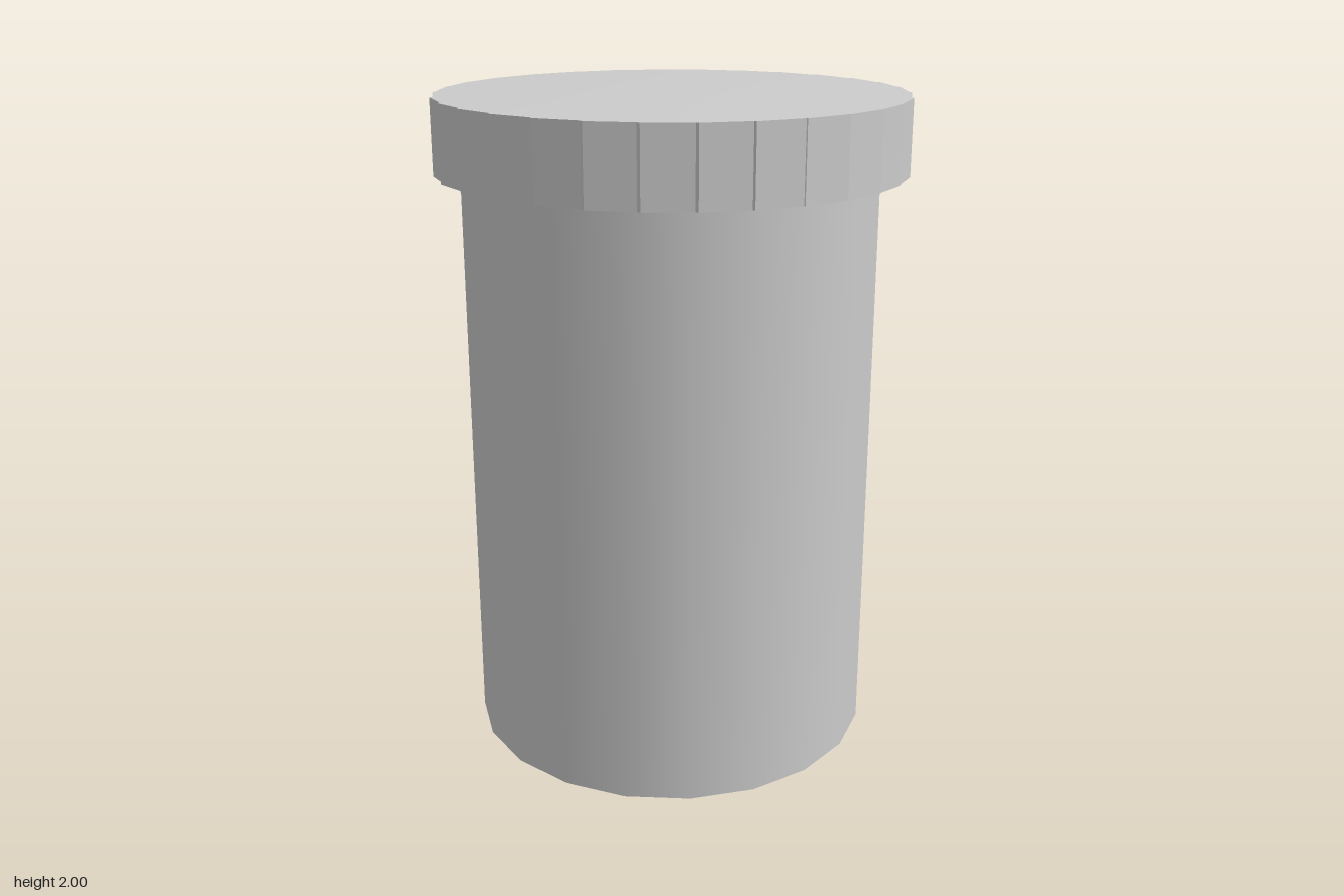
import * as THREE from 'three';

export function createModel() {
  const group = new THREE.Group();
  group.name = 'cappedCylinder';
  const smooth = new THREE.MeshStandardMaterial({ color: 0xcccccc });
  const faceted = new THREE.MeshStandardMaterial({ color: 0xcccccc, flatShading: true });

  const add = (name, geometry, material) => {
    const mesh = new THREE.Mesh(geometry, material);
    mesh.name = name;
    group.add(mesh);
    return mesh;
  };

  // Tall smooth body, set slightly off the cap's axis
  const body = add('body', new THREE.CylinderGeometry(0.62, 0.62, 1.77, 20), smooth);
  body.position.set(0.005, 0.885, 0.012);

  // Cap rim: 30 panels that step inward a little at each joint, mirrored front to back
  const half = [];
  for (let i = 0; i < 15; i++) {
    const a = (i * Math.PI) / 15;
    const step = Math.sin(a);
    const add2 = (r, t) => half.push(new THREE.Vector2(r * Math.cos(t), r * Math.sin(t)));
    add2(0.7 + 0.005 * step, a);
    if (i > 0) add2(0.7 - 0.006 * step, a + 0.018 * step);
  }
  const mirrored = half.slice(1).reverse().map((p) => new THREE.Vector2(p.x, -p.y));
  const outline = new THREE.Shape([...half, new THREE.Vector2(-0.7, 0), ...mirrored]);
  const rimGeometry = new THREE.ExtrudeGeometry(outline, { depth: 0.225, bevelEnabled: false });
  rimGeometry.rotateX(-Math.PI / 2);
  add('capRim', rimGeometry, faceted).position.y = 1.76;

  // Very shallow crown over the cap
  const crown = [[0.695, 1.985], [0.52, 1.991], [0.35, 1.996], [0.17, 1.999], [0, 2]]
    .map(([r, y]) => new THREE.Vector2(r, y));
  add('capCrown', new THREE.LatheGeometry(crown, 30, Math.PI / 2), smooth);

  return group;
}
